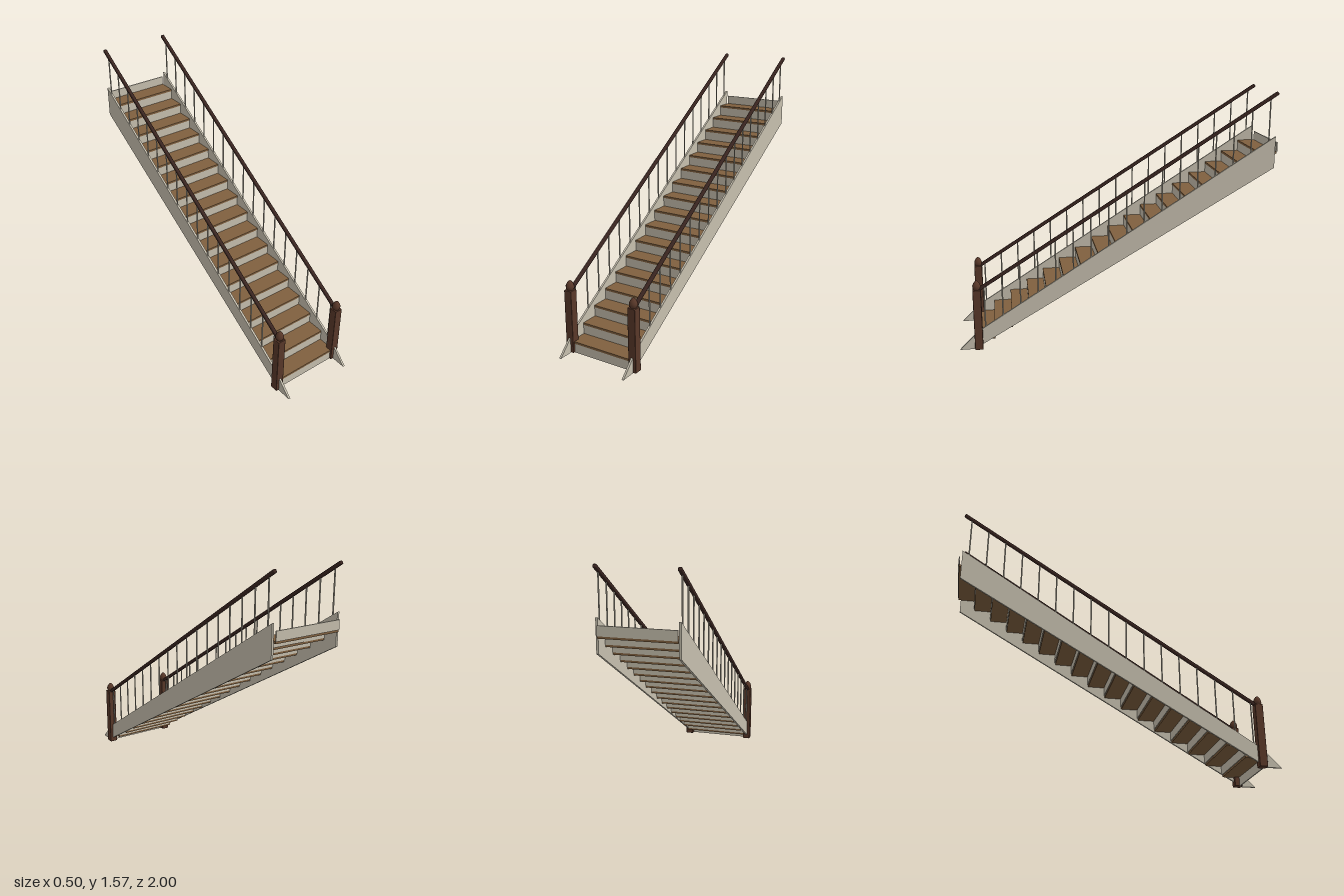
import * as THREE from 'three';
import { RoundedBoxGeometry } from 'three/addons/geometries/RoundedBoxGeometry.js';

const STEPS = 17, RISE = 0.0706, RUN = 0.111, NOSE = 0.895, THICK = 0.0135;
const SIDE_X = 0.225, INNER = 0.437;

const paint = (name, color) => {
  const m = new THREE.MeshStandardMaterial({ color });
  m.name = name;
  return m;
};

export function createModel() {
  const group = new THREE.Group();
  group.name = 'staircase';
  const cream = paint('creamPaint', 0xc6bfae);
  const oak = paint('oakTread', 0x80603f);
  const walnut = paint('walnutNewel', 0x593829);
  const dark = paint('darkRail', 0x3a2520);

  const add = (name, geometry, material, x, y, z, parent = group) => {
    const mesh = new THREE.Mesh(geometry, material);
    mesh.name = name;
    mesh.position.set(x, y, z);
    parent.add(mesh);
    return mesh;
  };

  // Treads, with a riser below each and one last riser at the top
  const treadGeo = new THREE.BoxGeometry(INNER, THICK, RUN + 0.003);
  const riserGeo = new THREE.BoxGeometry(INNER, RISE - THICK, 0.007);
  for (let i = 0; i <= STEPS; i++) {
    const nose = NOSE - i * RUN;
    add('riser', riserGeo, cream, 0, i * RISE + (RISE - THICK) / 2, nose - 0.0045);
    if (i < STEPS) add('tread', treadGeo, oak, 0, (i + 1) * RISE - THICK / 2, nose - (RUN + 0.003) / 2);
  }

  // Stringer outline, drawn as (z, y) with a pointed foot at the front
  const outline = new THREE.Shape([
    [1, 0], [0.9, 0.1], [0.84, 0.145], [-0.98, 1.296], [-0.98, 1.1], [0.91, 0],
  ].map(([z, y]) => new THREE.Vector2(-z, y)));
  const stringerGeo = new THREE.ExtrudeGeometry(outline, { depth: 0.013, bevelEnabled: false });
  stringerGeo.translate(0, 0, -0.0065).rotateY(Math.PI / 2);

  // Handrail line and stringer top line
  const railStart = new THREE.Vector2(0.868, 0.395), railEnd = new THREE.Vector2(-0.985, 1.565);
  const slope = (railEnd.y - railStart.y) / (railEnd.x - railStart.x);
  const railY = z => railStart.y + (z - railStart.x) * slope;
  const stringerY = z => 0.145 + (0.84 - z) * (1.296 - 0.145) / 1.82;
  const railGeo = new RoundedBoxGeometry(0.022, 0.021, railStart.distanceTo(railEnd), 2, 0.006);

  // Newel post and turned finial
  const postGeo = new RoundedBoxGeometry(0.052, 0.395, 0.051, 1, 0.004);
  const finialGeo = new THREE.LatheGeometry([
    [0.019, 0.39], [0.02, 0.4], [0.025, 0.405], [0.025, 0.42],
    [0.019, 0.435], [0.009, 0.448], [0, 0.454],
  ].map(p => new THREE.Vector2(...p)), 12);

  for (const [side, s] of [['left', 1], ['right', -1]]) {
    const x = s * SIDE_X;
    const balustrade = new THREE.Group();
    balustrade.name = side + 'Balustrade';
    group.add(balustrade);

    add('stringer', stringerGeo, cream, x, 0, 0, balustrade);
    add('newelPost', postGeo, walnut, x, 0.1975, 0.882, balustrade);
    add('newelFinial', finialGeo, walnut, x, 0, 0.882, balustrade);

    const rail = add('handrail', railGeo, dark, x,
      (railStart.y + railEnd.y) / 2, (railStart.x + railEnd.x) / 2, balustrade);
    rail.rotation.x = -Math.atan(slope);

    // One baluster above the middle of every tread
    for (let i = 0; i < STEPS; i++) {
      const z = NOSE - (i + 0.52) * RUN;
      const bottom = stringerY(z) - 0.01, top = railY(z);
      add('baluster', new THREE.CylinderGeometry(0.0045, 0.0045, top - bottom, 8), cream,
        x, (top + bottom) / 2, z, balustrade);
    }
  }
  return group;
}
